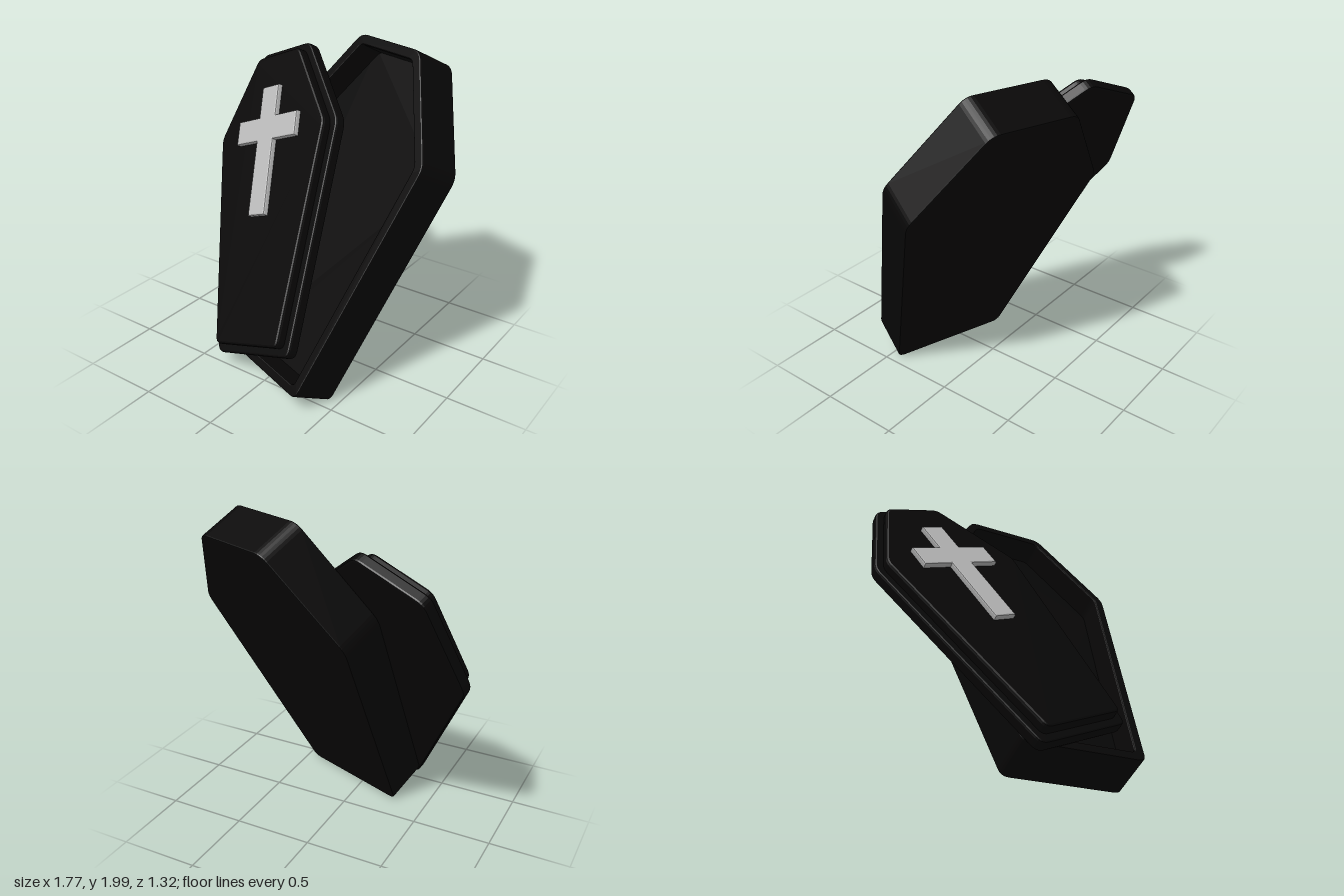
import * as THREE from 'three';

const black = new THREE.MeshStandardMaterial({ color: 0x080707 });
const grey = new THREE.MeshStandardMaterial({ color: 0xbbbbbb });

// Six-sided coffin corners, counter-clockwise, from half widths and heights
function coffinPoints(foot, shoulder, head, shoulderY, length) {
  return [[foot, 0], [shoulder, shoulderY], [head, length], [-head, length], [-shoulder, shoulderY], [-foot, 0]]
    .map(([x, y]) => new THREE.Vector2(x, y));
}

// Parallel inset of a counter-clockwise convex outline
function inset(points, d) {
  const n = points.length;
  return points.map((p, i) => {
    const a = p.clone().sub(points[(i + n - 1) % n]).normalize();
    const b = points[(i + 1) % n].clone().sub(p).normalize();
    const na = new THREE.Vector2(-a.y, a.x);
    const nb = new THREE.Vector2(-b.y, b.x);
    const k = d / (1 + na.dot(nb));
    return p.clone().add(na.add(nb).multiplyScalar(k));
  });
}

// Closed outline with rounded corners
function rounded(points, r, Type = THREE.Shape) {
  const path = new Type();
  const n = points.length;
  points.forEach((p, i) => {
    const before = p.clone().add(points[(i + n - 1) % n].clone().sub(p).setLength(r));
    const after = p.clone().add(points[(i + 1) % n].clone().sub(p).setLength(r));
    if (i === 0) path.moveTo(before.x, before.y);
    else path.lineTo(before.x, before.y);
    path.quadraticCurveTo(p.x, p.y, after.x, after.y);
  });
  path.closePath();
  return path;
}

// Bevelled slab between two depths that stays inside its outline
function slab(name, shape, z0, z1, bevel, material) {
  const geometry = new THREE.ExtrudeGeometry(shape, {
    depth: z1 - z0 - 2 * bevel, curveSegments: 5, bevelEnabled: bevel > 0,
    bevelSize: bevel, bevelThickness: bevel, bevelOffset: -bevel, bevelSegments: 2,
  });
  geometry.translate(0, 0, z0 + bevel);
  const mesh = new THREE.Mesh(geometry, material);
  mesh.name = name;
  return mesh;
}

export function createModel() {
  const model = new THREE.Group();
  model.name = 'coffin';

  // Open box, leaning back and turned
  const box = new THREE.Group();
  box.name = 'box';
  box.position.set(0.081, 0, 0.31);
  box.rotation.set(-0.466, -0.339, 0, 'YXZ');
  model.add(box);

  const outer = coffinPoints(0.388, 0.622, 0.262, 1.512, 2.097);
  const wall = rounded(outer, 0.05);
  wall.holes.push(rounded(inset(outer, 0.06), 0.03, THREE.Path));
  box.add(slab('walls', wall, 0, 0.284, 0.008, black));
  box.add(slab('floor', rounded(inset(outer, 0.012), 0.05), 0, 0.12, 0, black));

  // Lid, resting askew on the rim
  const lid = new THREE.Group();
  lid.name = 'lid';
  lid.position.set(-0.025, 0.063, 0.285);
  lid.rotation.z = 0.419;
  box.add(lid);

  const lidOuter = coffinPoints(0.337, 0.553, 0.228, 1.41, 1.962);
  lid.add(slab('lidFlange', rounded(lidOuter, 0.05), 0, 0.07, 0.012, black));
  lid.add(slab('lidPanel', rounded(inset(lidOuter, 0.05), 0.04), 0.06, 0.13, 0.015, black));

  // Cross on the lid
  const w = 0.078, arm = 0.282, mid = 1.403, top = 1.683, bottom = 0.845;
  const half = [[w, bottom], [w, mid - w], [arm, mid - w], [arm, mid + w], [w, mid + w], [w, top]];
  const mirrored = half.map(([x, y]) => [-x, y]).reverse();
  const crossShape = new THREE.Shape([...half, ...mirrored].map(([x, y]) => new THREE.Vector2(x, y)));
  lid.add(slab('cross', crossShape, 0.12, 0.163, 0.01, grey));

  return model;
}
